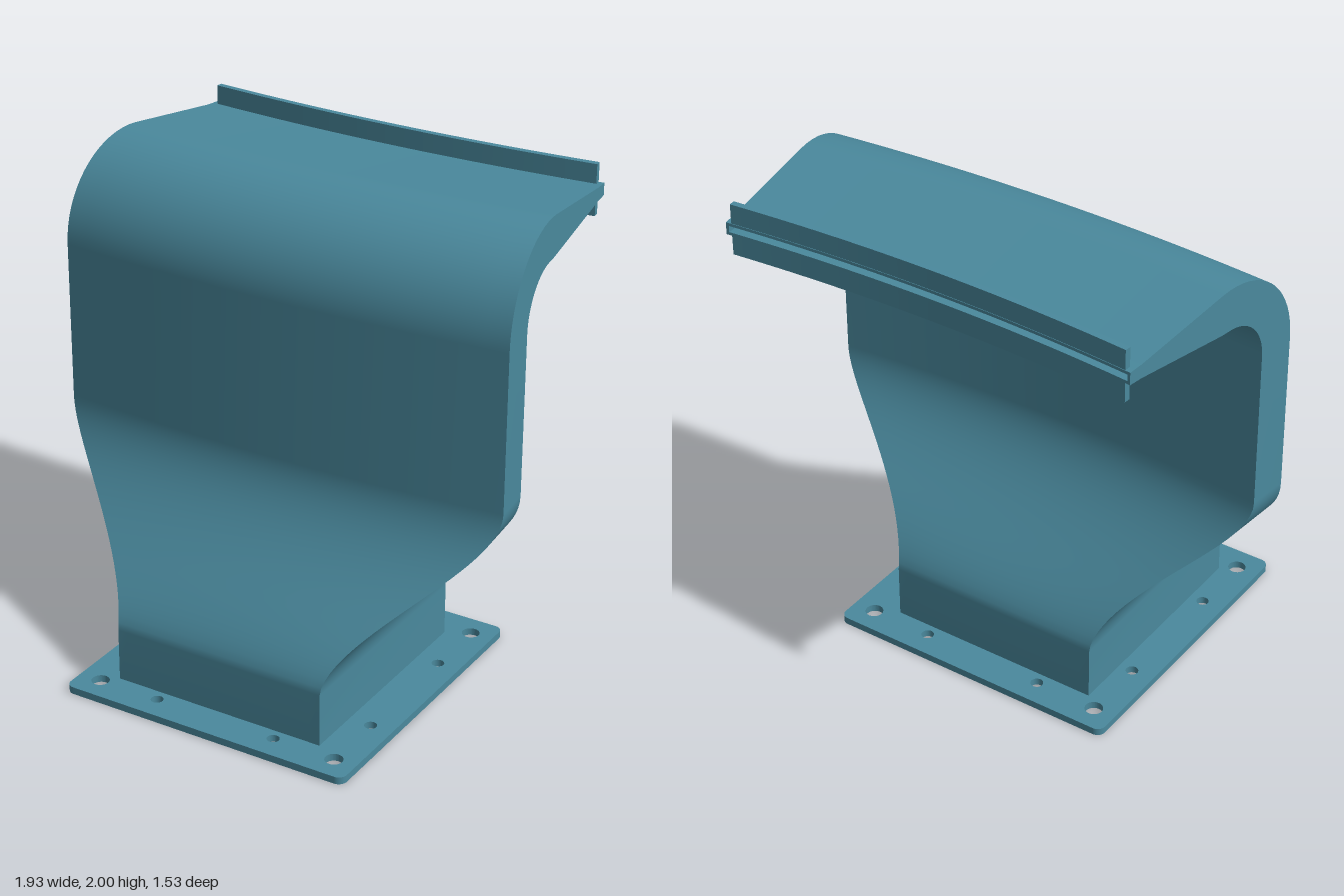
import * as THREE from 'three';
import { mergeGeometries } from 'three/addons/utils/BufferGeometryUtils.js';

const AXIS = 9.34;      // upper duct is bowed about a vertical axis at z = -AXIS
const SPREAD = 0.1012;  // half angle of the bowed duct
const WALL = 0.012;
const NECK = { half: 0.457, front: 0.615, back: -0.36 };

const smooth = (u) => u * u * (3 - 2 * u);
const lerp = THREE.MathUtils.lerp;

// Stations along the duct: front and back wall points [z, y] on the centre line,
// with blends from the rectangular neck (0) to the bowed slab (1)
function makeStations() {
  const list = [];
  const add = (front, back, bx = 1, bz = 1) => list.push({ front, back, bx, bz });
  add([NECK.front, 0.03], [NECK.back, 0.03], 0, 0);
  for (let i = 0; i <= 24; i++) { // flare
    const u = i / 24, y = 0.25 + 0.7 * u;
    const bx = smooth(u), bz = smooth(Math.pow(u, 0.82));
    add([lerp(NECK.front, 0.21, bz), y], [lerp(NECK.back, 0.04, bz), y], bx, bz);
  }
  for (let i = 0; i <= 16; i++) { // elbow
    const a = (i / 16) * Math.PI / 2, c = Math.cos(a), s = Math.sin(a);
    add([-0.17 + 0.38 * c, 1.6 + 0.38 * s], [-0.17 + 0.21 * c, 1.6 + 0.21 * s]);
  }
  add([-0.21, 1.978], [-0.21, 1.812]); // tapering nozzle
  add([-0.66, 1.923], [-0.66, 1.867]);
  add([-0.722, 1.92], [-0.722, 1.87]);
  return list;
}

// Point on a station: t runs -1..1 across, d runs 0..1 from front to back, w is the inset
function ductPoint(st, t, d, w) {
  const [fz, fy] = st.front, [bz, by] = st.back;
  const k = w / Math.hypot(bz - fz, by - fy);
  const m = lerp(k, 1 - k, d);
  const z = lerp(fz, bz, m), y = lerp(fy, by, m);
  const r = z + AXIS;
  const half = lerp(NECK.half, r * Math.sin(SPREAD), st.bx);
  const q = t * (1 - w / half);
  return [
    lerp(NECK.half * q, r * Math.sin(SPREAD * q), st.bx),
    y,
    lerp(z, r * Math.cos(SPREAD * q) - AXIS, st.bz),
  ];
}

// The four walls through a list of [station, inset] rows
function ductWalls(rows) {
  const walls = [
    (u) => [2 * u - 1, 0], (u) => [1, u],
    (u) => [1 - 2 * u, 1], (u) => [-1, 1 - u],
  ];
  return mergeGeometries(walls.map((wall, k) => {
    const cols = k % 2 ? 2 : 20, n = rows.length - 1;
    const g = new THREE.PlaneGeometry(1, 1, cols, n);
    const pos = g.attributes.position;
    for (let i = 0; i < pos.count; i++) {
      const [st, w] = rows[n - Math.floor(i / (cols + 1))];
      const [t, d] = wall((i % (cols + 1)) / cols);
      pos.setXYZ(i, ...ductPoint(st, t, d, w));
    }
    g.computeVertexNormals();
    return g;
  }));
}

// Extrude a plan drawn in (x, -z) upwards from height y
function extrudeUp(shape, height, y) {
  const g = new THREE.ExtrudeGeometry(shape, { depth: height, bevelEnabled: false, curveSegments: 20 });
  return g.rotateX(-Math.PI / 2).translate(0, y, 0);
}

function basePlate() {
  const cx = 0.018, cy = -0.1275, hx = 0.6275, hy = 0.6375, r = 0.035;
  const s = new THREE.Shape();
  s.absarc(cx + hx - r, cy + hy - r, r, 0, Math.PI / 2);
  s.absarc(cx - hx + r, cy + hy - r, r, Math.PI / 2, Math.PI);
  s.absarc(cx - hx + r, cy - hy + r, r, Math.PI, Math.PI * 1.5);
  s.absarc(cx + hx - r, cy - hy + r, r, Math.PI * 1.5, Math.PI * 2);
  s.closePath();

  // duct opening
  const ox = NECK.half - WALL, z0 = NECK.front - WALL, z1 = NECK.back + WALL;
  s.holes.push(new THREE.Path([[-ox, -z0], [-ox, -z1], [ox, -z1], [ox, -z0]]
    .map(([x, y]) => new THREE.Vector2(x, y))));

  // bolt holes: large at the corners, two small along each side
  const bolts = [[0.5325, 0.5375, 0.036], [0.265, 0.5375, 0.025], [0.5325, 0.265, 0.025]];
  for (const [x, y, rad] of bolts)
    for (const sx of [-1, 1])
      for (const sy of [-1, 1])
        s.holes.push(new THREE.Path().absarc(cx + sx * x, cy + sy * y, rad, 0, Math.PI * 2, true));
  return extrudeUp(s, 0.03, 0);
}

// Curved flange strip along the outlet
function flangeStrip(y, height) {
  const a = 0.0986, mid = -Math.PI / 2;
  const s = new THREE.Shape();
  s.absarc(0, AXIS, AXIS - 0.695, mid - a, mid + a, false);
  s.absarc(0, AXIS, AXIS - 0.72, mid + a, mid - a, true);
  s.closePath();
  return extrudeUp(s, height, y);
}

export function createModel() {
  const group = new THREE.Group();
  group.name = 'airDuct';
  const paint = new THREE.MeshStandardMaterial({ color: 0x4a899d });
  paint.name = 'tealPaint';
  const add = (name, geometry) => {
    const mesh = new THREE.Mesh(geometry, paint);
    mesh.name = name;
    group.add(mesh);
  };

  const stations = makeStations();
  const outlet = stations[stations.length - 1];
  add('ductOuterWalls', ductWalls(stations.map((s) => [s, 0])));
  add('outletRim', ductWalls([[outlet, 0], [outlet, WALL]]));
  add('ductInnerWalls', ductWalls(stations.map((s) => [s, WALL]).reverse()));
  add('basePlate', basePlate());
  add('upperFlange', flangeStrip(1.918, 0.082));
  add('lowerFlange', flangeStrip(1.79, 0.082));
  return group;
}
